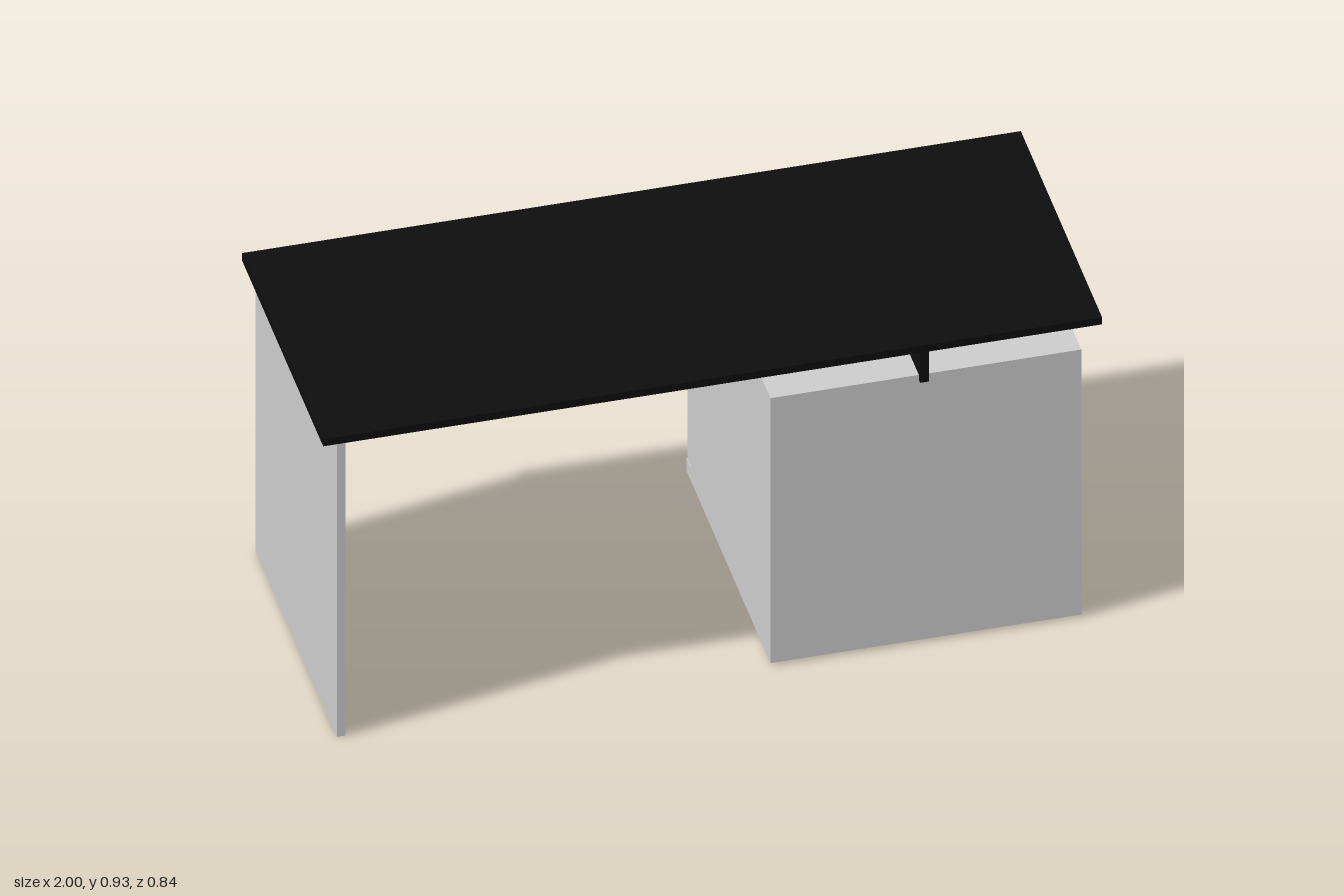
import * as THREE from 'three';

const grey = new THREE.MeshStandardMaterial({ color: 0xcccccc });
const black = new THREE.MeshStandardMaterial({ color: 0x0d0d0d });

// Box given by its extents on each axis
function slab(name, [x0, x1], [y0, y1], [z0, z1], material) {
  const mesh = new THREE.Mesh(new THREE.BoxGeometry(x1 - x0, y1 - y0, z1 - z0), material);
  mesh.position.set((x0 + x1) / 2, (y0 + y1) / 2, (z0 + z1) / 2);
  mesh.name = name;
  return mesh;
}

// Drawer front with a tapered finger notch in its top edge
function drawerFront(width, height, depth) {
  const w = width / 2;
  const shape = new THREE.Shape([
    [-w, 0], [w, 0], [w, height],
    [0.07, height], [0.055, height - 0.018], [-0.055, height - 0.018], [-0.07, height],
    [-w, height],
  ].map(([x, y]) => new THREE.Vector2(x, y)));
  return new THREE.ExtrudeGeometry(shape, { depth, bevelEnabled: false });
}

export function createModel() {
  const desk = new THREE.Group();
  desk.name = 'desk';
  const deep = [-0.378, 0.42];

  // Top, end panel and the rail that carries the top on the cabinet
  desk.add(slab('desktop', [-1, 1], [0.908, 0.93], deep, black));
  desk.add(slab('endPanel', [-0.965, -0.943], [0, 0.908], deep, grey));
  desk.add(slab('supportRail', [0.533, 0.555], [0.815, 0.909], deep, black));

  // Drawer cabinet
  const cabinet = new THREE.Group();
  cabinet.name = 'drawerCabinet';
  const wide = [0.152, 0.95];
  cabinet.add(slab('cabinetBody', wide, [0.047, 0.79], [-0.378, 0.407], grey));
  cabinet.add(slab('cabinetTop', wide, [0.79, 0.83], [-0.418, 0.407], grey));
  cabinet.add(slab('cabinetBase', wide, [0.008, 0.047], [-0.418, 0.407], grey));

  // Three drawers facing the back, separated by shadow gaps
  [[0.054, 0.293], [0.299, 0.537], [0.545, 0.784]].forEach(([y0, y1], i) => {
    const drawer = new THREE.Mesh(drawerFront(0.798, y1 - y0, 0.032), grey);
    drawer.position.set(0.551, y0, -0.41);
    drawer.name = `drawerFront${i + 1}`;
    cabinet.add(drawer);
  });
  desk.add(cabinet);
  return desk;
}
